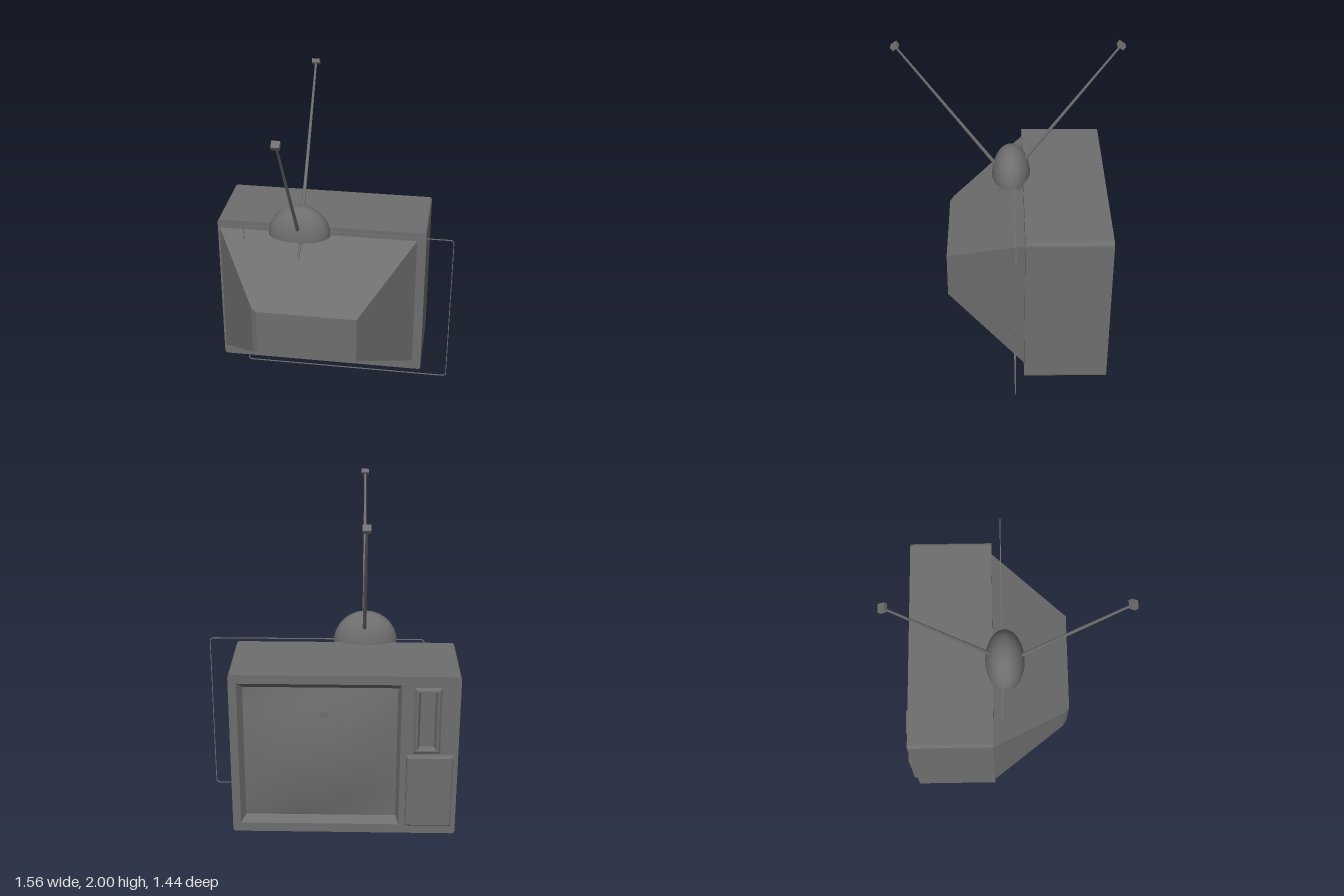
import * as THREE from 'three';

const flat = new THREE.MeshStandardMaterial({ color: 0x6e6e6e, flatShading: true });
const smooth = new THREE.MeshStandardMaterial({ color: 0x6e6e6e });

function add(parent, name, geometry, material = flat) {
  const mesh = new THREE.Mesh(geometry, material);
  mesh.name = name;
  parent.add(mesh);
  return mesh;
}

// Rectangle with small rounded corners, used as shape or hole
function roundRect(Type, x0, x1, y0, y1, r) {
  const s = new Type();
  s.moveTo(x0 + r, y0);
  s.lineTo(x1 - r, y0).quadraticCurveTo(x1, y0, x1, y0 + r);
  s.lineTo(x1, y1 - r).quadraticCurveTo(x1, y1, x1 - r, y1);
  s.lineTo(x0 + r, y1).quadraticCurveTo(x0, y1, x0, y1 - r);
  s.lineTo(x0, y0 + r).quadraticCurveTo(x0, y0, x0 + r, y0);
  return s;
}

function extrude(shape, z0, z1) {
  return new THREE.ExtrudeGeometry(shape, { depth: z1 - z0, bevelEnabled: false, curveSegments: 3 })
    .translate(0, 0, z0);
}

// Skin through rectangles [x0, x1, y0, y1, z]; optional cap at first or last one
function loft(rings, cap) {
  const pos = [];
  const corners = rings.map(([a, b, c, d, z]) => [[a, c, z], [b, c, z], [b, d, z], [a, d, z]]);
  const quad = (a, b, c, d) => pos.push(...a, ...b, ...c, ...a, ...c, ...d);
  for (let k = 0; k + 1 < corners.length; k++) {
    for (let i = 0; i < 4; i++) {
      const j = (i + 1) % 4;
      quad(corners[k][i], corners[k][j], corners[k + 1][j], corners[k + 1][i]);
    }
  }
  const f = corners[0], l = corners[corners.length - 1];
  if (cap === 'first') quad(f[0], f[3], f[2], f[1]);
  if (cap === 'last') quad(l[0], l[1], l[2], l[3]);
  const g = new THREE.BufferGeometry();
  g.setAttribute('position', new THREE.Float32BufferAttribute(pos, 3));
  g.computeVertexNormals();
  return g;
}

export function createModel() {
  const model = new THREE.Group();
  model.name = 'television';

  // Cabinet: solid rear block plus a face frame with openings
  const X0 = -0.78, X1 = 0.6, TOP = 1.065, FACE = -0.63;
  add(model, 'cabinet', extrude(roundRect(THREE.Shape, X0, X1, 0, TOP, 0.02), -0.56, -0.097));
  const face = roundRect(THREE.Shape, X0, X1, 0, TOP, 0.02);
  face.holes.push(
    roundRect(THREE.Path, -0.43, 0.55, 0.06, 1.01, 0.001),
    roundRect(THREE.Path, -0.645, -0.53, 0.585, 0.97, 0.001));
  add(model, 'faceFrame', extrude(face, FACE, -0.56));

  // Tapered tube housing, one upright edge softened
  add(model, 'tubeHousing', loft([
    [-0.767, 0.54, 0.068, 1.007, -0.097],
    [-0.465, 0.229, 0.364, 0.706, 0.375],
    [-0.43, 0.213, 0.38, 0.69, 0.4]], 'last'));

  // Sloped screen surround
  add(model, 'screenSurround', loft([
    [-0.41, 0.52, 0.1, 0.97, -0.585],
    [-0.43, 0.55, 0.06, 1.01, FACE]]));

  // Bulging screen
  const w = 0.93, h = 0.87;
  const glass = new THREE.PlaneGeometry(w, h, 3, 6);
  const p = glass.attributes.position;
  for (let i = 0; i < p.count; i++) {
    const u = p.getX(i) * 2 / w, v = p.getY(i) * 2 / h;
    p.setZ(i, 0.076 * (1 - u * u) * (1 - v * v));
  }
  glass.computeVertexNormals();
  glass.rotateY(Math.PI).translate(0.055, 0.535, -0.588);
  add(model, 'screen', glass, smooth);
  add(model, 'screenStud', new THREE.BoxGeometry(0.055, 0.035, 0.03)).position.set(0.03, 0.82, -0.625);

  // Recessed dial panel with raised rim
  add(model, 'dialPanel', loft([
    [-0.63, -0.545, 0.6, 0.955, -0.615],
    [-0.645, -0.53, 0.585, 0.97, -0.645],
    [-0.655, -0.52, 0.575, 0.98, -0.645],
    [-0.67, -0.505, 0.56, 0.995, FACE]], 'first'));

  // Raised speaker panel with bevelled edge
  add(model, 'speakerPanel', loft([
    [-0.74, -0.477, 0.08, 0.543, -0.665],
    [-0.75, -0.467, 0.07, 0.553, -0.655],
    [-0.75, -0.467, 0.07, 0.553, FACE]], 'first'));

  // Thin wire frame
  const wire = roundRect(THREE.Shape, -0.595, 0.78, 0.005, TOP, 0.025);
  wire.holes.push(roundRect(THREE.Path, -0.59, 0.775, 0.01, TOP - 0.005, 0.022));
  add(model, 'wireFrame', extrude(wire, -0.041, -0.035));

  // Antenna base: half ellipsoid closed underneath
  const base = new THREE.Group();
  base.name = 'antennaBase';
  base.position.set(-0.217, 1.043, -0.02);
  base.scale.set(0.202, 0.202, 0.126);
  model.add(base);
  add(base, 'dome', new THREE.SphereGeometry(1, 24, 10, 0, Math.PI * 2, 0, Math.PI / 2), smooth);
  add(base, 'domeUnderside', new THREE.CircleGeometry(1, 24).rotateX(Math.PI / 2));

  // Two crossing antenna rods, pointed below, with block tips
  for (const s of [-1, 1]) {
    const low = new THREE.Vector3(-0.21, 0.9, -0.08 * s);
    const high = new THREE.Vector3(-0.21, 1.98, 0.695 * s);
    const rod = new THREE.Group();
    rod.name = s > 0 ? 'frontAntenna' : 'rearAntenna';
    rod.position.copy(low);
    rod.rotation.x = Math.atan2(high.z - low.z, high.y - low.y);
    model.add(rod);
    const len = low.distanceTo(high);
    const profile = [[0, 0], [0.006, 0.004], [0.013, 0.15], [0.012, 0.35], [0.007, len]];
    add(rod, 'rod', new THREE.LatheGeometry(profile.map(([r, y]) => new THREE.Vector2(r, y)), 8));
    add(rod, 'tip', new THREE.BoxGeometry(0.05, 0.028, 0.045).translate(0, len - 0.006, 0));
  }
  return model;
}
